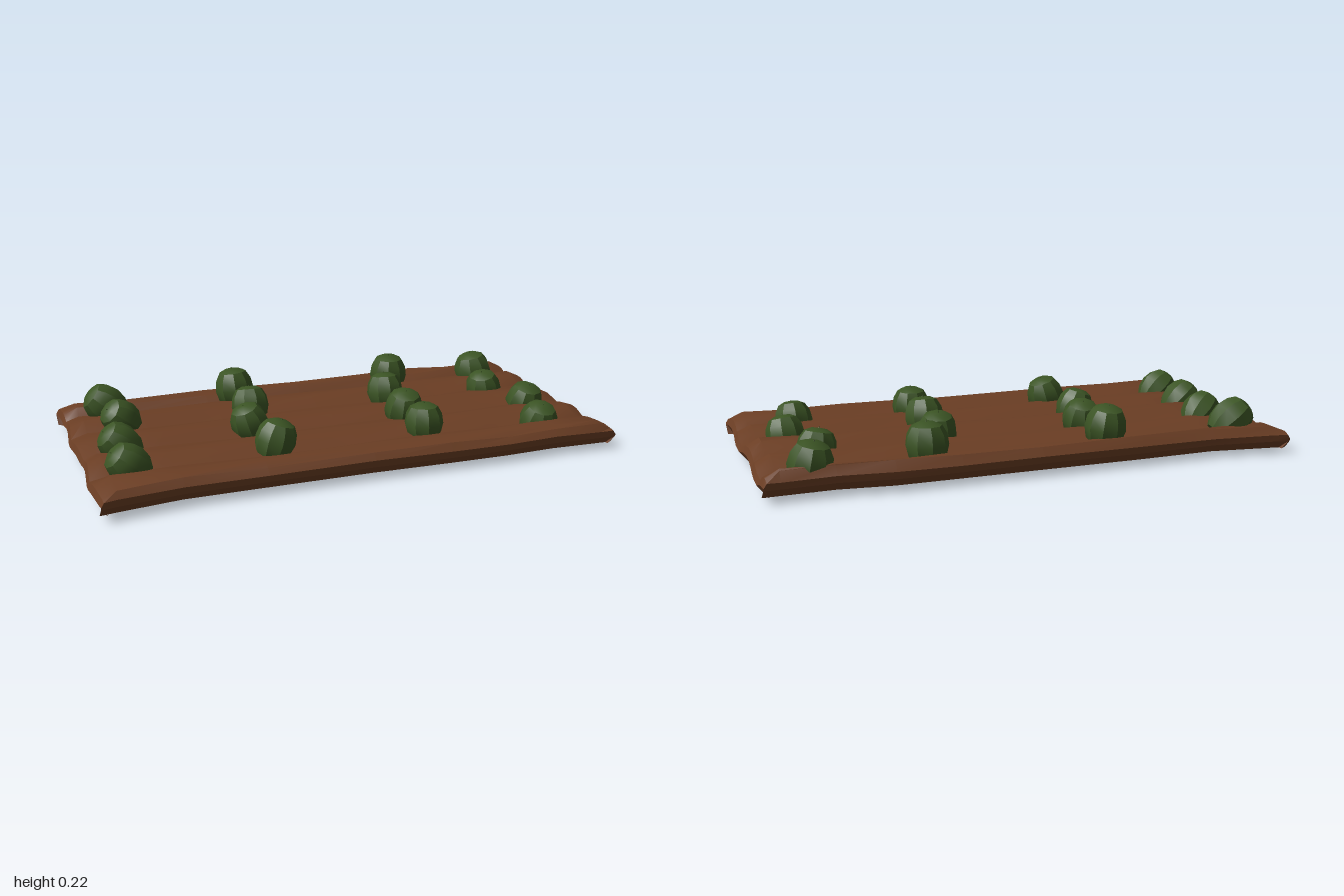
import * as THREE from 'three';
import { toCreasedNormals } from 'three/addons/utils/BufferGeometryUtils.js';

const soil = new THREE.MeshStandardMaterial({ color: 0x6b3e24, side: THREE.DoubleSide });
soil.name = 'brown soil';
const green = new THREE.MeshStandardMaterial({ color: 0x3b5424 });
green.name = 'leaf green';

// Lengthwise stations: x, level (0 hem, 1 top), back edge z, front edge z
const stations = [
  [-0.97, 0, -0.51, 0.505], [-0.995, 0.45, -0.525, 0.515], [-0.985, 0.75, -0.525, 0.515],
  [-0.93, 1, -0.515, 0.505], [-0.7, 1, -0.483, 0.472], [-0.4, 1, -0.492, 0.468],
  [0, 1, -0.495, 0.465], [0.3, 1, -0.498, 0.472], [0.54, 1, -0.5, 0.474],
  [0.74, 1, -0.477, 0.465], [0.93, 1, -0.483, 0.473], [0.98, 0.75, -0.485, 0.475],
  [0.992, 0.45, -0.485, 0.474], [0.97, 0, -0.47, 0.46],
];
// Crosswise profile: z, height, level; edge columns give z as an inset from the edge
const back = [[0.03, 0.1, 0], [0.004, 0.1, 0.35], [0, 0.1, 0.65], [0.025, 0.103, 1]];
const furrows = [
  [-0.45, 0.104], [-0.425, 0.098], [-0.395, 0.072], [-0.34, 0.088], [-0.285, 0.103], [-0.245, 0.103],
  [-0.17, 0.074], [-0.11, 0.09], [-0.06, 0.103], [-0.01, 0.102],
  [0.06, 0.074], [0.12, 0.09], [0.165, 0.103], [0.21, 0.102],
  [0.285, 0.074], [0.33, 0.09], [0.375, 0.104], [0.42, 0.104],
];
const front = [[0.02, 0.095, 1], [0, 0.1, 0.65], [0.004, 0.1, 0.35], [0.03, 0.1, 0]];

function soilGeometry() {
  const pos = [], index = [], hem = 0.014;
  const cols = back.length + furrows.length + front.length;
  stations.forEach(([x, level, zb, zf], i) => {
    const add = (z, h, l, j) => {
      const wave = level === 1 ? 0.002 * Math.sin(i * 2.1 + j * 1.3) : 0;
      const endWave = level < 1 ? 0.008 * Math.sin(z * 14) : 0;
      const y = hem + Math.min(level, l) * (h - hem + wave) + (l === 1 ? level * wave : 0);
      pos.push(x + endWave, y, z);
    };
    back.forEach(([d, h, l], j) => add(zb + d, h, l, j));
    furrows.forEach(([z, h], j) => add(z, h, 1, j));
    front.forEach(([d, h, l], j) => add(zf - d, h, l, j));
  });
  for (let i = 0; i < stations.length - 1; i++) {
    for (let j = 0; j < cols - 1; j++) {
      const a = i * cols + j, b = a + cols;
      index.push(a, a + 1, b, b, a + 1, b + 1);
    }
  }
  const g = new THREE.BufferGeometry();
  g.setAttribute('position', new THREE.Float32BufferAttribute(pos, 3));
  g.setIndex(index);
  return toCreasedNormals(g, 0.5);
}

// Plants: x, y, z of the centre, lean of the crown toward x and z, size
const plants = [
  [-0.82, 0.115, -0.385, -0.9, -0.1, 1], [-0.79, 0.11, -0.205, -0.85, 0.4, 0.92],
  [-0.84, 0.1, 0.05, -0.85, 0.05, 0.95], [-0.85, 0.1, 0.275, -0.85, 0.1, 0.95],
  [-0.29, 0.128, -0.38, -0.08, -0.12, 1], [-0.28, 0.112, -0.18, 0.02, -0.3, 0.95],
  [-0.34, 0.11, 0.02, -0.35, 0.05, 0.93], [-0.31, 0.112, 0.25, 0.3, 0, 0.98],
  [0.4, 0.122, -0.38, 0, 0.05, 1], [0.3, 0.11, -0.175, 0, -0.2, 0.95],
  [0.28, 0.11, 0.065, 0, 0.25, 0.98], [0.28, 0.113, 0.255, 0, -0.05, 0.95],
  [0.815, 0.09, -0.385, -0.2, -0.05, 1.03], [0.75, 0.08, -0.16, -0.2, 0.15, 0.95],
  [0.82, 0.083, 0.065, 0.1, 0.3, 0.95], [0.75, 0.08, 0.3, 0.05, 0.35, 0.95],
];

function createPlant([x, y, z, leanX, leanZ, size], i, bodyGeo, stemGeo) {
  const plant = new THREE.Group();
  plant.name = 'plant';
  const body = new THREE.Mesh(bodyGeo, green);
  body.name = 'plantBody';
  body.rotation.y = i * 1.7;
  const stem = new THREE.Mesh(stemGeo, green);
  stem.name = 'plantStem';
  stem.position.y = 0.086;
  plant.add(body, stem);
  const axis = new THREE.Vector3(Math.tan(leanX), 1, Math.tan(leanZ)).normalize();
  plant.quaternion.setFromUnitVectors(new THREE.Vector3(0, 1, 0), axis);
  plant.position.set(x, y, z);
  plant.scale.setScalar(size);
  return plant;
}

export function createModel() {
  const model = new THREE.Group();
  model.name = 'plantedBed';
  const bed = new THREE.Mesh(soilGeometry(), soil);
  bed.name = 'furrowedSoil';
  model.add(bed);

  // Faceted barrel with a narrow crown
  const profile = [[0, -0.082], [0.042, -0.08], [0.068, -0.045], [0.079, 0], [0.073, 0.04],
    [0.056, 0.07], [0.03, 0.083], [0, 0.084]].map(p => new THREE.Vector2(...p));
  const bodyGeo = toCreasedNormals(new THREE.LatheGeometry(profile, 9), 0.5);
  const stemGeo = new THREE.ConeGeometry(0.004, 0.012, 5);
  plants.forEach((p, i) => model.add(createPlant(p, i, bodyGeo, stemGeo)));
  return model;
}
